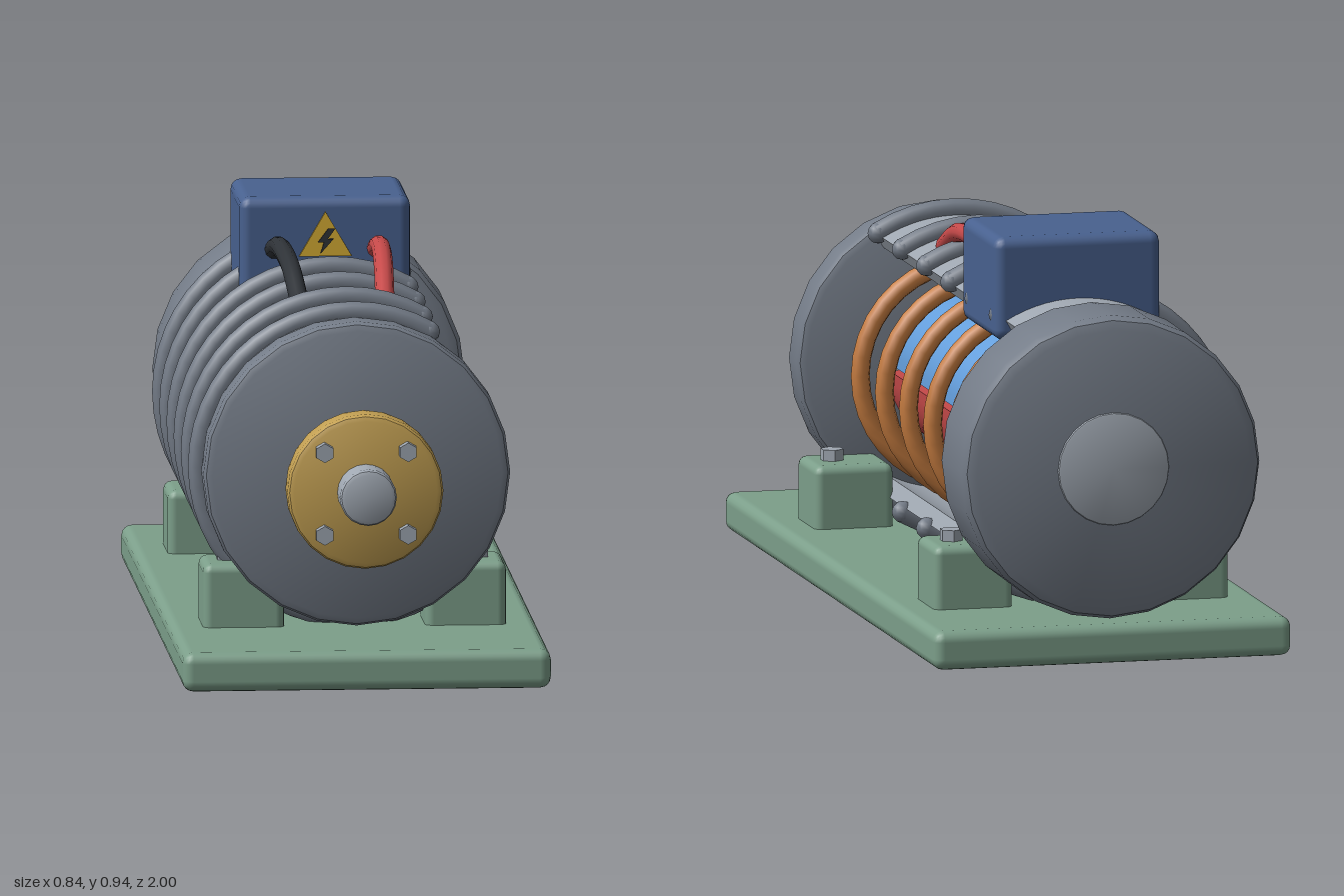
import * as THREE from 'three';
import { toCreasedNormals } from 'three/addons/utils/BufferGeometryUtils.js';
import { RoundedBoxGeometry } from 'three/addons/geometries/RoundedBoxGeometry.js';

const AXIS_Y = 0.45;
const CUT = Math.PI / 3; // half angle of the opening on the +x side

function material(name, color, side = THREE.FrontSide) {
  const m = new THREE.MeshStandardMaterial({ color, side });
  m.name = name;
  return m;
}

export function createModel() {
  const model = new THREE.Group();
  model.name = 'cutawayMotor';

  const darkGrey = material('darkGrey', 0x747c88);
  const steel = material('steel', 0x9fa7b1);
  const green = material('green', 0x7c9f8a);
  const boxBlue = material('boxBlue', 0x48618f);
  const brass = material('brass', 0xc29f52);
  const copper = material('copper', 0xc67c40);
  const red = material('red', 0xc74a4a);
  const blue = material('blue', 0x65a0de);
  const black = material('black', 0x2f3338);
  const yellow = material('yellow', 0xd9ae35);

  function add(name, geometry, mat, x = 0, y = 0, z = 0) {
    const mesh = new THREE.Mesh(geometry, mat);
    mesh.name = name;
    mesh.position.set(x, y, z);
    model.add(mesh);
    return mesh;
  }

  function block(name, mat, w, h, d, x, y, z, r) {
    return add(name, new RoundedBoxGeometry(w, h, d, 2, r), mat, x, y, z);
  }

  // Bevelled disc along the motor axis, from z0 to z1
  function disc(name, mat, r, z0, z1, b = 0.01, sides = 24) {
    const profile = [
      [0, z0], [r - b, z0], [r - b * 0.3, z0 + b * 0.3], [r, z0 + b],
      [r, z1 - b], [r - b * 0.3, z1 - b * 0.3], [r - b, z1], [0, z1],
    ].map(([px, py]) => new THREE.Vector2(px, py));
    const g = new THREE.LatheGeometry(profile, sides).rotateX(Math.PI / 2);
    return add(name, toCreasedNormals(g, 0.5), mat, 0, AXIS_Y);
  }

  // Base plate and feet with hex bolts
  block('basePlate', green, 0.84, 0.09, 1.955, 0, 0.045, -0.02, 0.025);
  for (const z of [0.485, -0.617]) {
    for (const side of [1, -1]) {
      block('foot', green, 0.185, 0.165, 0.175, side * 0.253, 0.1525, z, 0.02);
      const bolt = new THREE.CylinderGeometry(0.027, 0.027, 0.035, 6);
      add('footBolt', toCreasedNormals(bolt, 0.5), steel, side * 0.285, 0.243, z);
    }
  }

  // End housings with bearing bosses
  disc('frontFlange', darkGrey, 0.35, 0.54, 0.645, 0.02);
  disc('rearCap', darkGrey, 0.35, -0.993, -0.755, 0.03);
  disc('frontBearing', steel, 0.13, 0.53, 0.655, 0.008);
  disc('rearBearing', steel, 0.13, -1, -0.742, 0.005);

  // Cut-open tubular shell
  const section = new THREE.Shape();
  section.absarc(0, 0, 0.34, CUT, 2 * Math.PI - CUT, false);
  section.absarc(0, 0, 0.30, 2 * Math.PI - CUT, CUT, true);
  const shell = new THREE.ExtrudeGeometry(section, {
    depth: 1.315, bevelEnabled: false, curveSegments: 28,
  });
  add('shell', toCreasedNormals(shell, 0.5), steel, 0, AXIS_Y, -0.765);

  // Cooling ribs, rounded off to a point at both ends
  const ribArc = 2 * (Math.PI - CUT);
  for (let i = 0; i < 6; i++) {
    const z = 0.49 - i * 0.2235;
    const rib = new THREE.TorusGeometry(0.35, 0.025, 8, 32, ribArc).rotateZ(CUT);
    add('coolingRib', rib, darkGrey, 0, AXIS_Y, z);
    for (const a of [CUT, -CUT]) {
      add('ribEnd', new THREE.SphereGeometry(0.025, 8, 6), darkGrey,
        0.35 * Math.cos(a), AXIS_Y + 0.35 * Math.sin(a), z);
    }
  }

  // Copper coil loops
  for (let i = 0; i < 5; i++) {
    add('coilLoop', new THREE.TorusGeometry(0.252, 0.022, 8, 36), copper,
      0, AXIS_Y, 0.352 - i * 0.2225);
  }

  // Rotor: core and two half-round magnets
  disc('shaft', steel, 0.065, -0.76, 1, 0.012, 20);
  disc('rotorCore', darkGrey, 0.12, -0.65, 0.5, 0.012);
  const half = new THREE.Shape();
  half.absarc(0, 0.018, 0.15, 0, Math.PI, false);
  half.closePath();
  const magnet = toCreasedNormals(new THREE.ExtrudeGeometry(half, {
    depth: 1.04, bevelSize: 0.01, bevelThickness: 0.01, bevelSegments: 2, curveSegments: 16,
  }), 0.5);
  add('upperMagnet', magnet, blue, 0, AXIS_Y, -0.595);
  add('lowerMagnet', magnet, red, 0, AXIS_Y, -0.595).rotation.z = Math.PI;

  // Shaft coupling with four bolts
  disc('coupling', brass, 0.178, 0.82, 0.91, 0.015, 24);
  for (const x of [-0.095, 0.095]) {
    for (const y of [-0.095, 0.095]) {
      const bolt = new THREE.CylinderGeometry(0.022, 0.022, 0.04, 6).rotateX(Math.PI / 2);
      add('couplingBolt', toCreasedNormals(bolt, 0.5), steel, x, AXIS_Y + y, 0.917);
    }
  }

  // Terminal box with warning plate
  block('terminalBox', boxBlue, 0.39, 0.238, 0.318, 0, 0.816, -0.511, 0.025);
  function plate(name, points, mat, z) {
    const s = new THREE.Shape(points.map(([x, y]) => new THREE.Vector2(x, y)));
    add(name, new THREE.ExtrudeGeometry(s, { depth: 0.008, bevelEnabled: false }), mat, 0, 0, z);
  }
  plate('warningPlate', [[-0.06, 0.8], [0.06, 0.8], [0, 0.902]], yellow, -0.353);
  plate('warningBolt', [
    [0.006, 0.864], [-0.018, 0.832], [-0.004, 0.832], [-0.012, 0.806],
    [0.018, 0.84], [0.005, 0.84], [0.022, 0.864],
  ], black, -0.348);

  // Cables arching from the box to the shell
  for (const [name, side, mat] of [['redCable', 1, red], ['blackCable', -1, black]]) {
    const path = new THREE.CatmullRomCurve3([
      [0.117, 0.81, -0.38], [0.115, 0.838, -0.26], [0.112, 0.846, -0.13],
      [0.105, 0.828, 0.03], [0.097, 0.772, 0.18],
    ].map(([x, y, z]) => new THREE.Vector3(side * x, y, z)));
    add(name, new THREE.TubeGeometry(path, 24, 0.022, 10), mat);
    add(name + 'End', new THREE.SphereGeometry(0.022, 10, 8), mat, side * 0.097, 0.772, 0.18);
  }

  return model;
}
